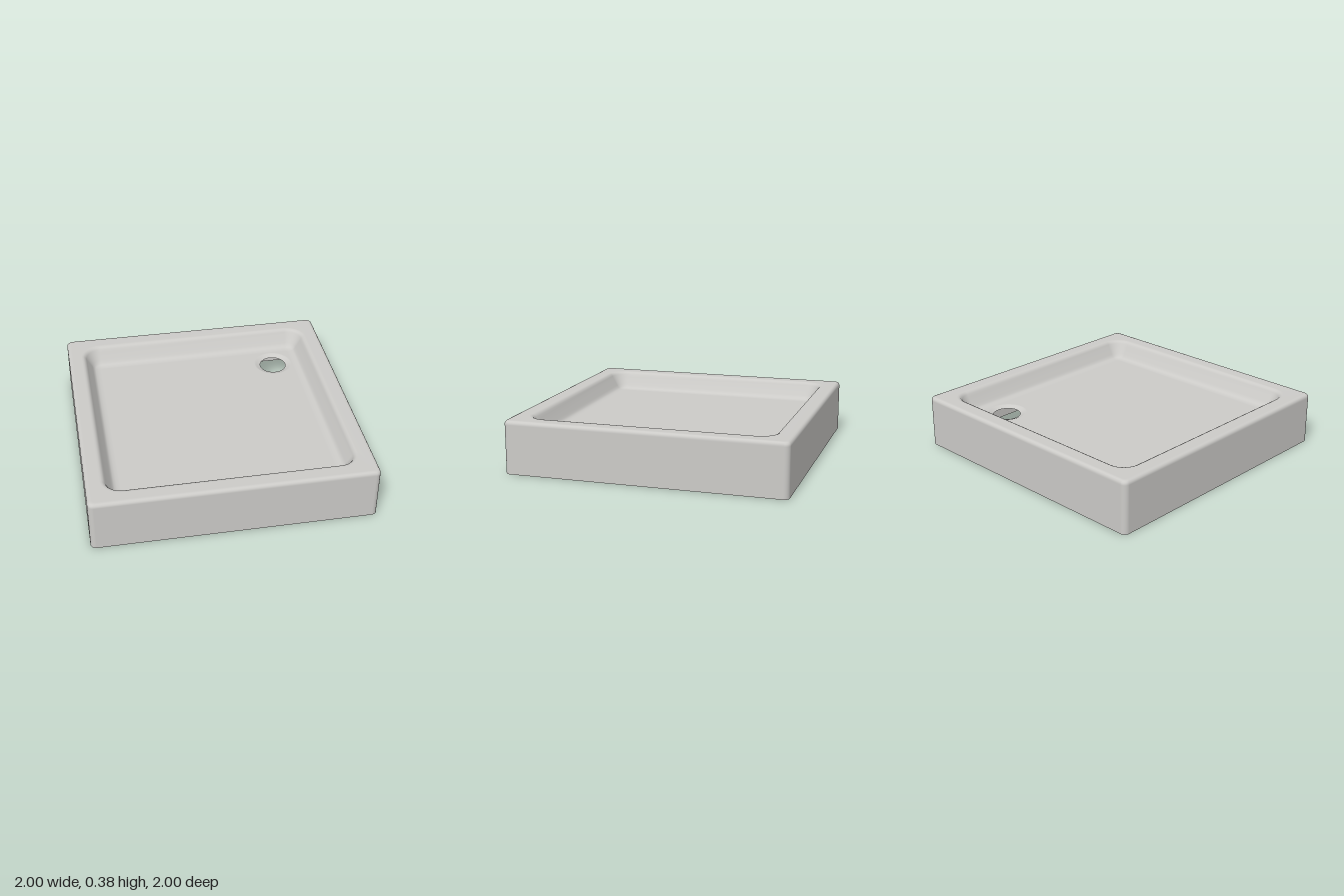
import * as THREE from 'three';

const CORNER_STEPS = 8;

// Points [x, z] round a square of half width a with corner radius r
function roundedSquare(a, r) {
  const points = [];
  for (let corner = 0; corner < 4; corner++) {
    const mid = (corner + 0.5) * Math.PI / 2;
    const cx = Math.sign(Math.cos(mid)) * (a - r);
    const cz = Math.sign(Math.sin(mid)) * (a - r);
    for (let k = 0; k <= CORNER_STEPS; k++) {
      const t = (corner + k / CORNER_STEPS) * Math.PI / 2;
      points.push([cx + r * Math.cos(t), cz + r * Math.sin(t)]);
    }
  }
  return points;
}

// Skin joining a series of rounded squares [half width, height, corner radius]
function skin(sections) {
  const positions = [], index = [];
  const n = 4 * (CORNER_STEPS + 1);
  sections.forEach(([a, y, r], j) => {
    for (const [x, z] of roundedSquare(a, r)) positions.push(x, y, z);
    if (j === sections.length - 1) return;
    for (let k = 0; k < n; k++) {
      const p = j * n + k, q = j * n + (k + 1) % n;
      index.push(p, p + n, q, q, p + n, q + n);
    }
  });
  const geometry = new THREE.BufferGeometry();
  geometry.setAttribute('position', new THREE.Float32BufferAttribute(positions, 3));
  geometry.setIndex(index);
  geometry.computeVertexNormals();
  return geometry;
}

export function createModel() {
  const group = new THREE.Group();
  group.name = 'showerTray';
  const enamel = new THREE.MeshStandardMaterial({ color: 0xcccbc8, side: THREE.DoubleSide });
  enamel.name = 'enamel';
  const add = (name, geometry) => {
    const mesh = new THREE.Mesh(geometry, enamel);
    mesh.name = name;
    group.add(mesh);
    return mesh;
  };

  const floorY = 0.25, floorHalf = 0.755, floorRadius = 0.02;
  const drainX = 0.6, drainZ = -0.6, dishRadius = 0.145;

  // Skirt, rounded rim and sloping basin wall in one smooth skin
  add('rimAndWalls', skin([
    [1, 0, 0.04],
    [1, 0.35, 0.04],
    [1, 0.358, 0.04],
    [0.997, 0.368, 0.038],
    [0.989, 0.377, 0.034],
    [0.978, 0.38, 0.03],
    [0.97, 0.38, 0.03],
    [0.9, 0.38, 0.15],
    [0.887, 0.379, 0.137],
    [0.874, 0.373, 0.124],
    [0.863, 0.359, 0.113],
    [0.855, 0.34, 0.105],
    [0.822, 0.285, 0.075],
    [0.811, 0.267, 0.064],
    [0.798, 0.257, 0.052],
    [0.78, 0.252, 0.038],
    [0.762, floorY, 0.024],
    [floorHalf, floorY, floorRadius],
  ]));

  // Basin floor with an opening for the drain
  const outline = new THREE.Shape(
    roundedSquare(floorHalf, floorRadius).map(([x, z]) => new THREE.Vector2(x, z)));
  const opening = new THREE.Path();
  opening.absarc(drainX, -drainZ, dishRadius, 0, Math.PI * 2);
  outline.holes.push(opening);
  const floor = add('basinFloor', new THREE.ShapeGeometry(outline, 24));
  floor.rotation.x = -Math.PI / 2;
  floor.position.y = floorY;

  // Shallow dish leading down to the open drain hole
  const dishProfile = [[dishRadius, 0], [0.138, -0.001], [0.126, -0.006], [0.113, -0.012], [0.1, -0.016]]
    .map(([r, y]) => new THREE.Vector2(r, y));
  const dish = add('drainDish', new THREE.LatheGeometry(dishProfile, 48));
  dish.position.set(drainX, floorY, drainZ);

  return group;
}
